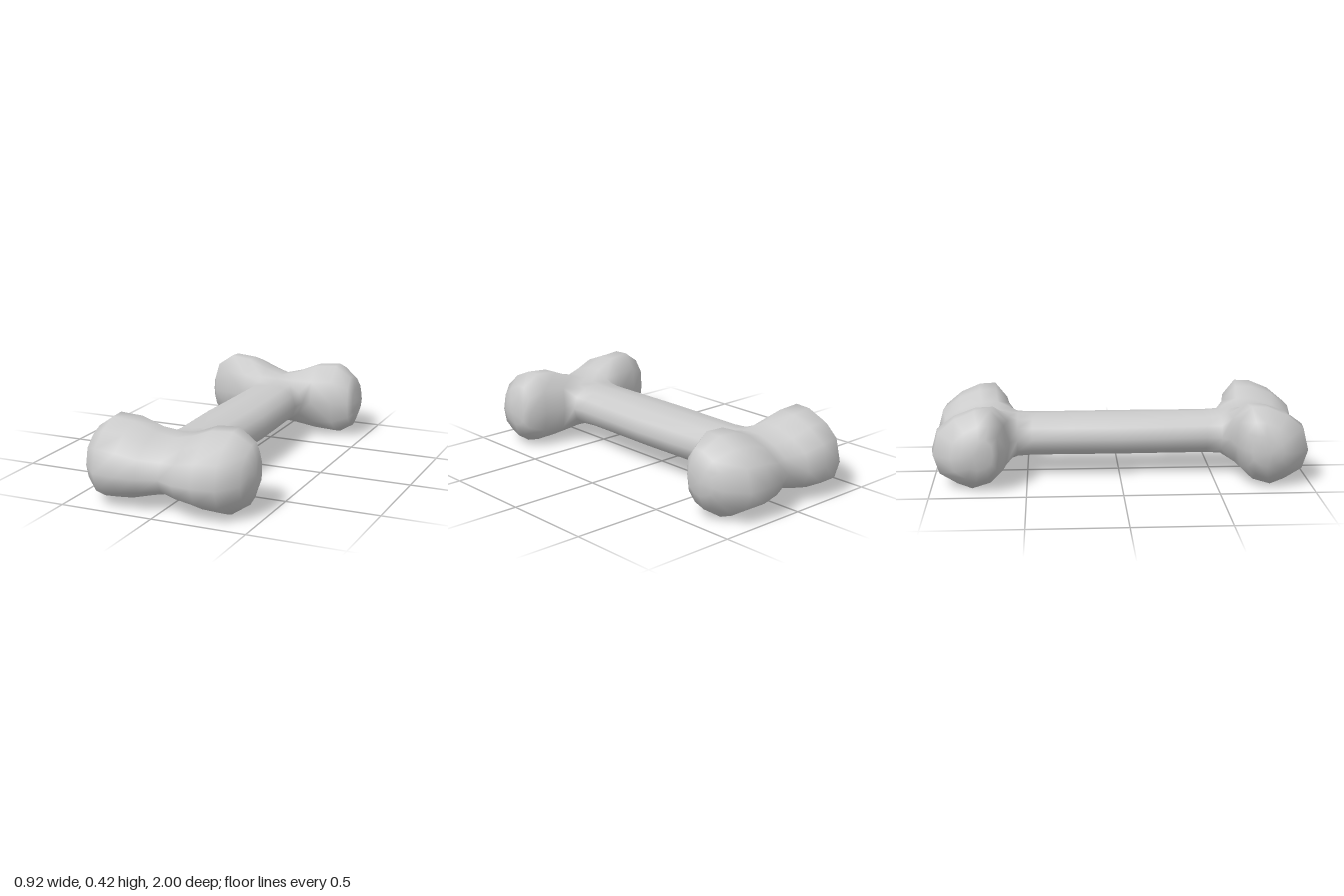
import * as THREE from 'three';

// Knuckle cross-sections along x: [x, centre z, half depth, centre y, half height]
const HALF = [
  [0, 0.76, 0.17, 0.195, 0.145],
  [0.1, 0.78, 0.2, 0.2, 0.165],
  [0.21, 0.795, 0.205, 0.21, 0.2],
  [0.33, 0.795, 0.19, 0.21, 0.21],
  [0.42, 0.765, 0.125, 0.207, 0.15],
  [0.443, 0.755, 0.085, 0.207, 0.08],
];
const TIP = [0.458, 0.205, 0.77];

// Unit outline of the knuckle, as [z, y], from the outer end over the top
const OUTLINE = [
  [1, -0.14], [0.85, 0.43], [0.4, 0.77], [-0.15, 0.98], [-0.6, 1], [-0.95, 0.6],
  [-1, 0], [-0.9, -0.55], [-0.55, -0.86], [-0.05, -1], [0.35, -0.86], [0.83, -0.6],
];

// Shaft rings: [z, half width, half height]
const SHAFT = [
  [0.55, 0.175, 0.115], [0.47, 0.165, 0.111], [0.24, 0.174, 0.11], [0, 0.181, 0.11],
  [-0.24, 0.174, 0.11], [-0.47, 0.165, 0.111], [-0.55, 0.175, 0.115],
];

// Corners [section, outline point] of the opening where the shaft joins, anticlockwise
const OPENING = [
  [7, 6], [7, 5], [6, 5], [5, 5], [4, 5], [3, 5],
  [3, 6], [3, 7], [4, 7], [5, 7], [6, 7], [7, 7],
];

export function createModel() {
  const positions = [];
  const index = [];
  const N = OUTLINE.length;
  const addVertex = (x, y, z) => positions.push(x, y, z) / 3 - 1;
  const tri = (a, b, c, flip) => (flip ? index.push(a, c, b) : index.push(a, b, c));
  const quad = (a, b, c, d, flip) => {
    tri(a, b, c, flip);
    tri(a, c, d, flip);
  };

  const sections = [
    ...HALF.slice(1).reverse().map(([x, ...rest]) => [-x, ...rest]),
    ...HALF,
  ];

  // Double-lobed knuckle; returns the loop of vertices around its opening
  function addKnuckle(side) {
    const flip = side < 0;
    const rings = sections.map(([x, zc, zh, yc, yh]) =>
      OUTLINE.map(([oz, oy], k) => {
        let y = yc + yh * oy;
        // keep the neck as thick as the shaft
        if (Math.abs(x) < 0.25 && k === 5) y = Math.max(y, 0.33);
        if (Math.abs(x) < 0.25 && k === 7) y = Math.min(y, 0.09);
        return addVertex(x, y, side * (zc + zh * oz));
      }));
    for (let i = 0; i < rings.length - 1; i++) {
      for (let k = 0; k < N; k++) {
        if (i >= 3 && i <= 6 && (k === 5 || k === 6)) continue; // shaft opening
        const n = (k + 1) % N;
        quad(rings[i][k], rings[i + 1][k], rings[i + 1][n], rings[i][n], flip);
      }
    }
    // Rounded outer ends of the lobes
    const right = addVertex(TIP[0], TIP[1], side * TIP[2]);
    const left = addVertex(-TIP[0], TIP[1], side * TIP[2]);
    const last = rings[rings.length - 1];
    for (let k = 0; k < N; k++) {
      const n = (k + 1) % N;
      tri(right, last[n], last[k], flip);
      tri(left, rings[0][k], rings[0][n], flip);
    }
    return OPENING.map(([i, k]) => rings[i][k]);
  }

  // Shaft lofted from one knuckle opening to the other
  const soften = (v) => Math.sign(v) * Math.abs(v) ** 0.85;
  const loops = [addKnuckle(1)];
  for (const [z, w, h] of SHAFT) {
    loops.push(OPENING.map((_, j) => {
      const a = (j / OPENING.length) * Math.PI * 2;
      return addVertex(w * soften(Math.cos(a)), 0.21 + h * soften(Math.sin(a)), z);
    }));
  }
  loops.push(addKnuckle(-1));
  for (let r = 0; r < loops.length - 1; r++) {
    for (let j = 0; j < N; j++) {
      const n = (j + 1) % N;
      quad(loops[r][j], loops[r + 1][j], loops[r + 1][n], loops[r][n], false);
    }
  }

  const geometry = new THREE.BufferGeometry();
  geometry.setAttribute('position', new THREE.Float32BufferAttribute(positions, 3));
  geometry.setIndex(index);
  geometry.computeVertexNormals();

  const bone = new THREE.Mesh(geometry, new THREE.MeshStandardMaterial({ color: 0xcccccc }));
  bone.name = 'bone';
  const group = new THREE.Group();
  group.name = 'boneModel';
  group.add(bone);
  return group;
}
